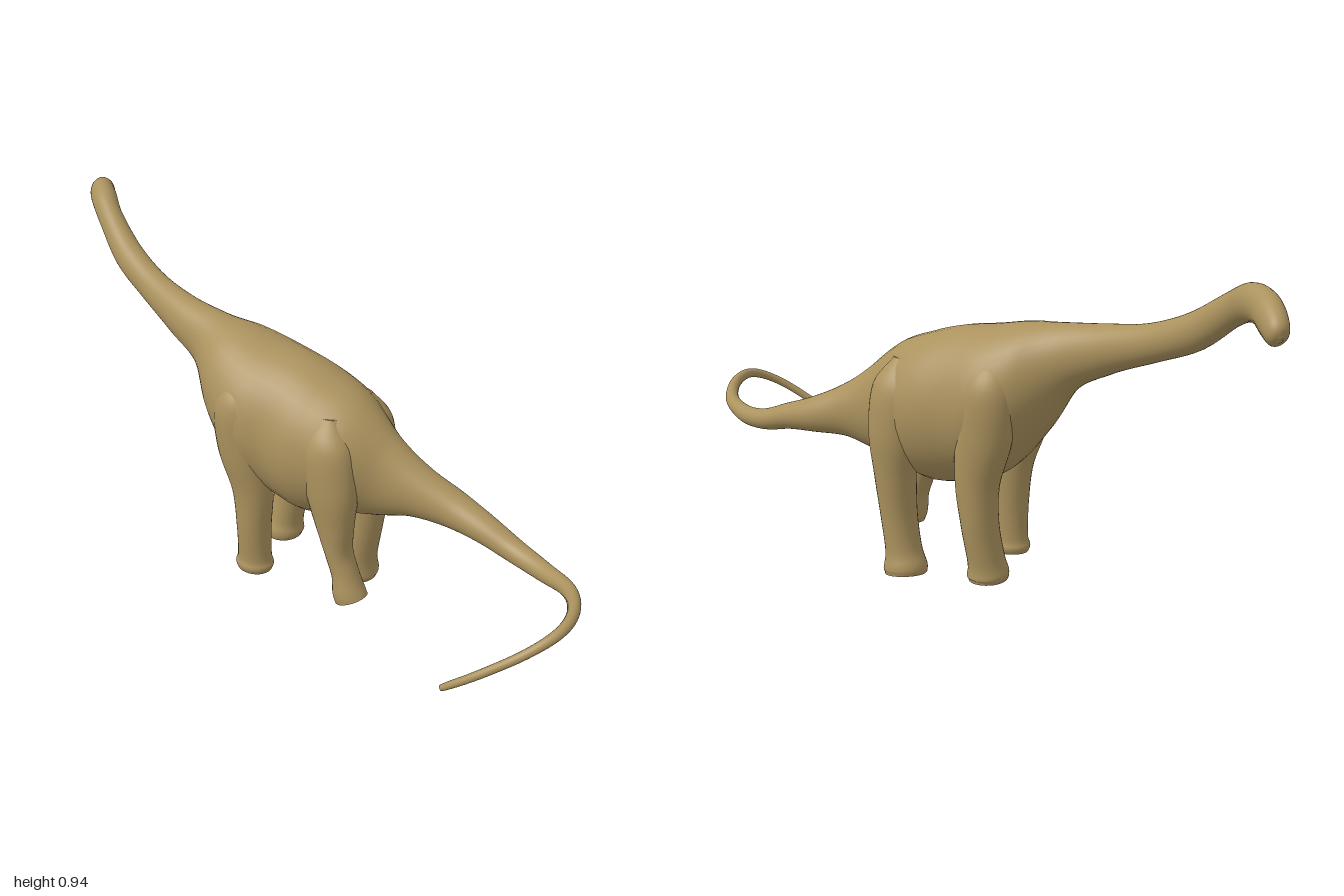
import * as THREE from 'three';

const hide = new THREE.MeshStandardMaterial({ color: 0xab925e });
hide.name = 'tan hide';

// Smooth skin through oval stations [x, y, z, halfWidth, halfDepth]
function loft(name, stations, { ref, steps = 6, sides = 28, level = null, sole = 0 }) {
  const path = new THREE.CatmullRomCurve3(stations.map(s => new THREE.Vector3(s[0], s[1], s[2])), false, 'catmullrom', 0.5);
  const size = new THREE.CatmullRomCurve3(stations.map(s => new THREE.Vector3(s[3], s[4], 0)), false, 'catmullrom', 0.5);
  const rows = (stations.length - 1) * steps;
  const pos = [], idx = [];
  let tangent;
  for (let i = 0; i <= rows; i++) {
    const p = path.getPoint(i / rows), r = size.getPoint(i / rows);
    tangent = path.getTangent(i / rows);
    if (level) level(tangent, p);
    const u = new THREE.Vector3().crossVectors(ref, tangent).normalize();
    const v = new THREE.Vector3().crossVectors(tangent, u);
    for (let j = 0; j < sides; j++) {
      const a = j / sides * Math.PI * 2;
      const q = p.clone().addScaledVector(u, Math.cos(a) * r.x).addScaledVector(v, Math.sin(a) * r.y);
      pos.push(q.x, q.y, q.z);
      if (i < rows) {
        const k = (j + 1) % sides, A = i * sides;
        idx.push(A + j, A + k, A + sides + j, A + k, A + sides + k, A + sides + j);
      }
    }
  }
  // End caps with their own vertices; the sole is slightly hollow
  const cap = (row, flip, sink) => {
    const base = pos.length / 3, s = stations[flip ? 0 : stations.length - 1];
    for (let j = 0; j < sides * 3; j++) pos.push(pos[row * sides * 3 + j]);
    pos.push(s[0] - tangent.x * sink, s[1] - tangent.y * sink, s[2] - tangent.z * sink);
    for (let j = 0; j < sides; j++) {
      const k = (j + 1) % sides;
      idx.push(base + sides, base + (flip ? k : j), base + (flip ? j : k));
    }
  };
  cap(0, true, 0);
  cap(rows, false, sole);
  const geo = new THREE.BufferGeometry();
  geo.setAttribute('position', new THREE.Float32BufferAttribute(pos, 3));
  geo.setIndex(idx);
  geo.computeVertexNormals();
  const mesh = new THREE.Mesh(geo, hide);
  mesh.name = name;
  return mesh;
}

export function createModel() {
  const group = new THREE.Group();
  group.name = 'longNeckedDinosaur';
  const up = new THREE.Vector3(0, 1, 0), back = new THREE.Vector3(0, 0, 1);

  // Head, neck, torso and curling tail in one skin
  const spine = [
    [0.357, 0.84, -0.985, 0.006, 0.008],
    [0.348, 0.848, -0.975, 0.026, 0.032],
    [0.318, 0.868, -0.952, 0.034, 0.043],
    [0.275, 0.89, -0.915, 0.037, 0.045],
    [0.232, 0.892, -0.865, 0.038, 0.046],
    [0.19, 0.86, -0.8, 0.036, 0.042],
    [0.145, 0.788, -0.69, 0.042, 0.048],
    [0.108, 0.738, -0.56, 0.044, 0.05],
    [0.077, 0.7, -0.42, 0.056, 0.066],
    [0.066, 0.66, -0.3, 0.078, 0.094],
    [0.06, 0.585, -0.2, 0.145, 0.16],
    [0.06, 0.523, -0.1, 0.18, 0.205],
    [0.062, 0.498, 0, 0.172, 0.217],
    [0.06, 0.48, 0.1, 0.173, 0.21],
    [0.058, 0.478, 0.2, 0.145, 0.175],
    [0.068, 0.445, 0.3, 0.085, 0.126],
    [0.08, 0.425, 0.4, 0.062, 0.077],
    [0.093, 0.403, 0.5, 0.052, 0.053],
    [0.09, 0.383, 0.6, 0.042, 0.039],
    [0.083, 0.357, 0.7, 0.033, 0.031],
    [0.056, 0.352, 0.8, 0.026, 0.026],
    [0, 0.372, 0.9, 0.02, 0.02],
    [-0.1, 0.398, 0.967, 0.016, 0.017],
    [-0.2, 0.403, 0.985, 0.014, 0.014],
    [-0.28, 0.365, 0.94, 0.012, 0.012],
    [-0.338, 0.295, 0.85, 0.011, 0.011],
    [-0.361, 0.236, 0.775, 0.009, 0.009],
    [-0.364, 0.229, 0.766, 0.002, 0.002],
  ];
  // Keep the torso sections upright
  const level = (t, p) => {
    t.y *= 0.15 + 0.85 * THREE.MathUtils.smoothstep(Math.abs(p.z), 0.2, 0.5);
    t.normalize();
  };
  group.add(loft('body', spine, { ref: up, sides: 36, level }));

  // Legs from muscle to sole
  const legs = {
    leftFrontLeg: [
      [0.165, 0.66, -0.13, 0.02, 0.03],
      [0.172, 0.58, -0.13, 0.068, 0.075],
      [0.178, 0.45, -0.115, 0.066, 0.08],
      [0.177, 0.32, -0.095, 0.058, 0.062],
      [0.172, 0.2, -0.1, 0.056, 0.05],
      [0.16, 0.1, -0.112, 0.056, 0.049],
      [0.155, 0.06, -0.115, 0.062, 0.056],
      [0.155, 0.042, -0.115, 0.056, 0.051],
    ],
    rightFrontLeg: [
      [-0.04, 0.66, -0.11, 0.02, 0.03],
      [-0.05, 0.58, -0.11, 0.068, 0.075],
      [-0.055, 0.45, -0.095, 0.066, 0.08],
      [-0.05, 0.32, -0.07, 0.055, 0.062],
      [-0.052, 0.2, -0.065, 0.05, 0.05],
      [-0.05, 0.1, -0.065, 0.046, 0.05],
      [-0.05, 0.07, -0.065, 0.051, 0.057],
      [-0.05, 0.053, -0.065, 0.046, 0.052],
    ],
    leftHindLeg: [
      [0.145, 0.62, 0.16, 0.02, 0.03],
      [0.155, 0.54, 0.165, 0.064, 0.08],
      [0.168, 0.42, 0.175, 0.066, 0.078],
      [0.165, 0.3, 0.178, 0.06, 0.06],
      [0.16, 0.18, 0.172, 0.055, 0.05],
      [0.16, 0.08, 0.158, 0.054, 0.05],
      [0.163, 0.03, 0.15, 0.061, 0.062],
      [0.165, 0.01, 0.148, 0.057, 0.058],
    ],
    rightHindLeg: [
      [-0.025, 0.62, 0.17, 0.02, 0.03],
      [-0.035, 0.54, 0.175, 0.062, 0.08],
      [-0.045, 0.42, 0.2, 0.062, 0.078],
      [-0.05, 0.31, 0.218, 0.05, 0.055],
      [-0.052, 0.23, 0.235, 0.044, 0.036],
      [-0.053, 0.17, 0.257, 0.042, 0.036],
      [-0.055, 0.12, 0.272, 0.047, 0.045],
      [-0.055, 0.097, 0.282, 0.046, 0.047],
    ],
  };
  for (const [name, stations] of Object.entries(legs))
    group.add(loft(name, stations, { ref: back, sole: 0.012 }));

  return group;
}
